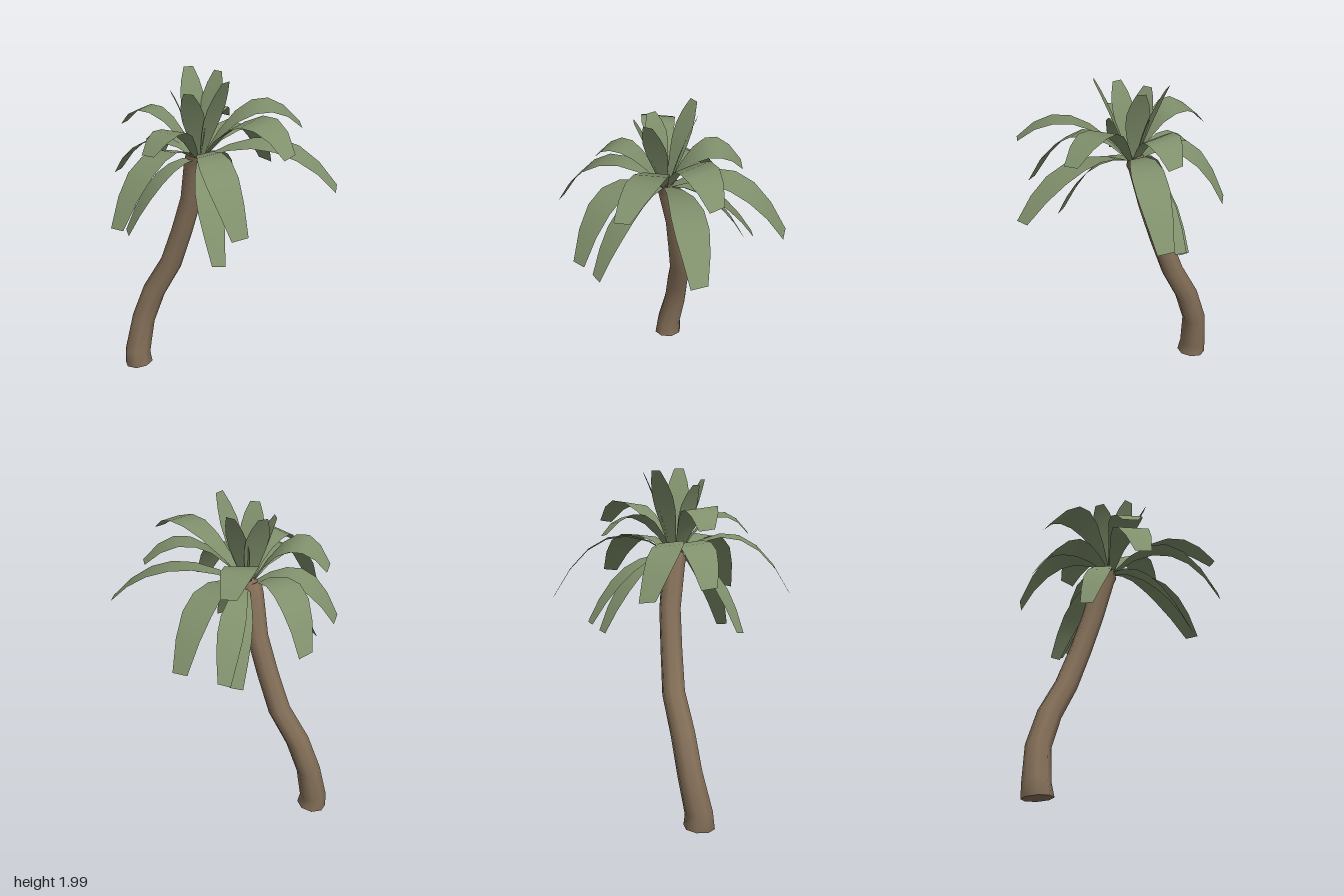
import * as THREE from 'three';

const UP = new THREE.Vector3(0, 1, 0);

// Trunk rings from base to crown: x, y, z, radius
const TRUNK = [
  [-0.568, 0.015, -0.105, 0.089],
  [-0.573, 0.1, -0.112, 0.08],
  [-0.535, 0.32, -0.147, 0.072],
  [-0.46, 0.53, -0.143, 0.07],
  [-0.345, 0.74, -0.128, 0.066],
  [-0.27, 0.97, -0.093, 0.063],
  [-0.205, 1.2, -0.06, 0.062],
  [-0.168, 1.45, -0.01, 0.066],
  [-0.158, 1.49, 0.005, 0.066],
  [-0.143, 1.535, 0.02, 0.032],
];

// Bent trunk: a cylinder whose rings follow the path
function trunkGeometry() {
  const last = TRUNK.length - 1;
  const geo = new THREE.CylinderGeometry(1, 1, last, 8, last);
  const pos = geo.attributes.position, nor = geo.attributes.normal;
  const centres = TRUNK.map(r => new THREE.Vector3(r[0], r[1], r[2]));
  const turns = centres.map((c, i) => {
    const t = i === 0 ? new THREE.Vector3(-0.12, 1, 0)
      : centres[Math.min(i + 1, last)].clone().sub(centres[i - 1]);
    return new THREE.Quaternion().setFromUnitVectors(UP, t.normalize());
  });
  const v = new THREE.Vector3();
  for (let i = 0; i < pos.count; i++) {
    const k = Math.round(pos.getY(i) + last / 2);
    v.set(pos.getX(i), 0, pos.getZ(i)).multiplyScalar(TRUNK[k][3]);
    v.applyQuaternion(turns[k]).add(centres[k]);
    pos.setXYZ(i, v.x, v.y, v.z);
    v.fromBufferAttribute(nor, i).applyQuaternion(turns[k]);
    nor.setXYZ(i, v.x, v.y, v.z);
  }
  return geo;
}

// Frond blade: a strip along an arched curve, widest past the middle.
// bank tilts the blade across its width, sway bows it sideways.
function frondGeometry([x, y, z, bendY, sway], { bendAt, width, tipWidth, bank }) {
  const heart = new THREE.Vector3(-0.14, 1.5, 0.02);
  const end = new THREE.Vector3(x, y, z);
  const out = end.clone().sub(heart).setY(0).normalize();
  const side = out.clone().cross(UP);
  const root = heart.clone().addScaledVector(out, 0.02);
  const bend = root.clone().lerp(end, bendAt).addScaledVector(side, sway * 2).setY(bendY);
  const curve = new THREE.QuadraticBezierCurve3(root, bend, end);
  const profile = new THREE.SplineCurve(
    [[0, 0.18], [0.25, 0.62], [0.5, 0.96], [0.75, 0.92], [1, tipWidth]].map(p => new THREE.Vector2(...p)));
  const points = [], index = [], rows = 6;
  for (let i = 0; i <= rows; i++) {
    const t = i / rows, c = curve.getPoint(t);
    const half = profile.getPoint(t).y * width / 2;
    for (const s of [-1, 1]) {
      const p = c.clone().addScaledVector(side, s * half).addScaledVector(UP, s * half * bank);
      points.push(p.x, p.y, p.z);
    }
    if (i < rows) {
      const a = i * 2;
      index.push(a, a + 1, a + 2, a + 1, a + 3, a + 2);
    }
  }
  const geo = new THREE.BufferGeometry();
  geo.setAttribute('position', new THREE.Float32BufferAttribute(points, 3));
  geo.setIndex(index);
  geo.computeVertexNormals();
  return geo;
}

// Frond tiers; each frond is tip x, y, z, height of its bend, sway
const TIERS = [
  { name: 'uprightFrond', width: 0.14, tipWidth: 0.4, bendAt: 0.42, bank: 0, fronds: [
    [0.03, 1.995, 0.16, 1.77, 0], [-0.17, 1.93, 0.19, 1.76, 0], [-0.29, 1.9, 0.06, 1.76, 0],
    [-0.225, 1.98, -0.17, 1.78, 0], [-0.05, 1.97, -0.14, 1.77, 0]] },
  { name: 'upperFrond', width: 0.2, tipWidth: 0.46, bendAt: 0.54, bank: -0.12, fronds: [
    [0.4, 1.67, 0.4, 1.99, -0.045], [0.43, 1.68, -0.11, 1.99, -0.015], [-0.06, 1.62, -0.41, 1.89, -0.02],
    [-0.59, 1.66, -0.08, 1.96, -0.03], [-0.37, 1.63, 0.365, 1.89, -0.02]] },
  { name: 'middleFrond', width: 0.19, tipWidth: 0.5, bendAt: 0.59, bank: -0.12, fronds: [
    [0.16, 1.27, 0.6, 1.81, 0.035], [-0.51, 1.28, 0.57, 1.81, 0], [-0.48, 1.28, -0.39, 1.75, -0.045],
    [0.19, 1.265, -0.6, 1.81, 0.02], [0.65, 1.36, 0.05, 1.76, -0.02], [-0.645, 1.35, -0.1, 1.73, -0.01]] },
  { name: 'lowerFrond', width: 0.15, tipWidth: 0.5, bendAt: 0.55, bank: 0.12, fronds: [
    [0.03, 1.045, 0.485, 1.51, 0.01], [-0.54, 1.08, 0.19, 1.51, -0.01],
    [-0.105, 1.085, -0.45, 1.51, 0.01], [-0.04, 1.13, -0.49, 1.53, 0.01]] },
];

export function createModel() {
  const bark = new THREE.MeshStandardMaterial({ color: 0x86715a });
  bark.name = 'bark brown';
  const leaf = new THREE.MeshStandardMaterial({ color: 0x80906c, side: THREE.DoubleSide });
  leaf.name = 'leaf green';

  const palm = new THREE.Group();
  palm.name = 'palmTree';
  const trunk = new THREE.Mesh(trunkGeometry(), bark);
  trunk.name = 'trunk';
  palm.add(trunk);

  // Crown of fronds
  const crown = new THREE.Group();
  crown.name = 'crown';
  for (const tier of TIERS) {
    tier.fronds.forEach((spec, i) => {
      const frond = new THREE.Mesh(frondGeometry(spec, tier), leaf);
      frond.name = tier.name + (i + 1);
      crown.add(frond);
    });
  }
  palm.add(crown);
  return palm;
}
